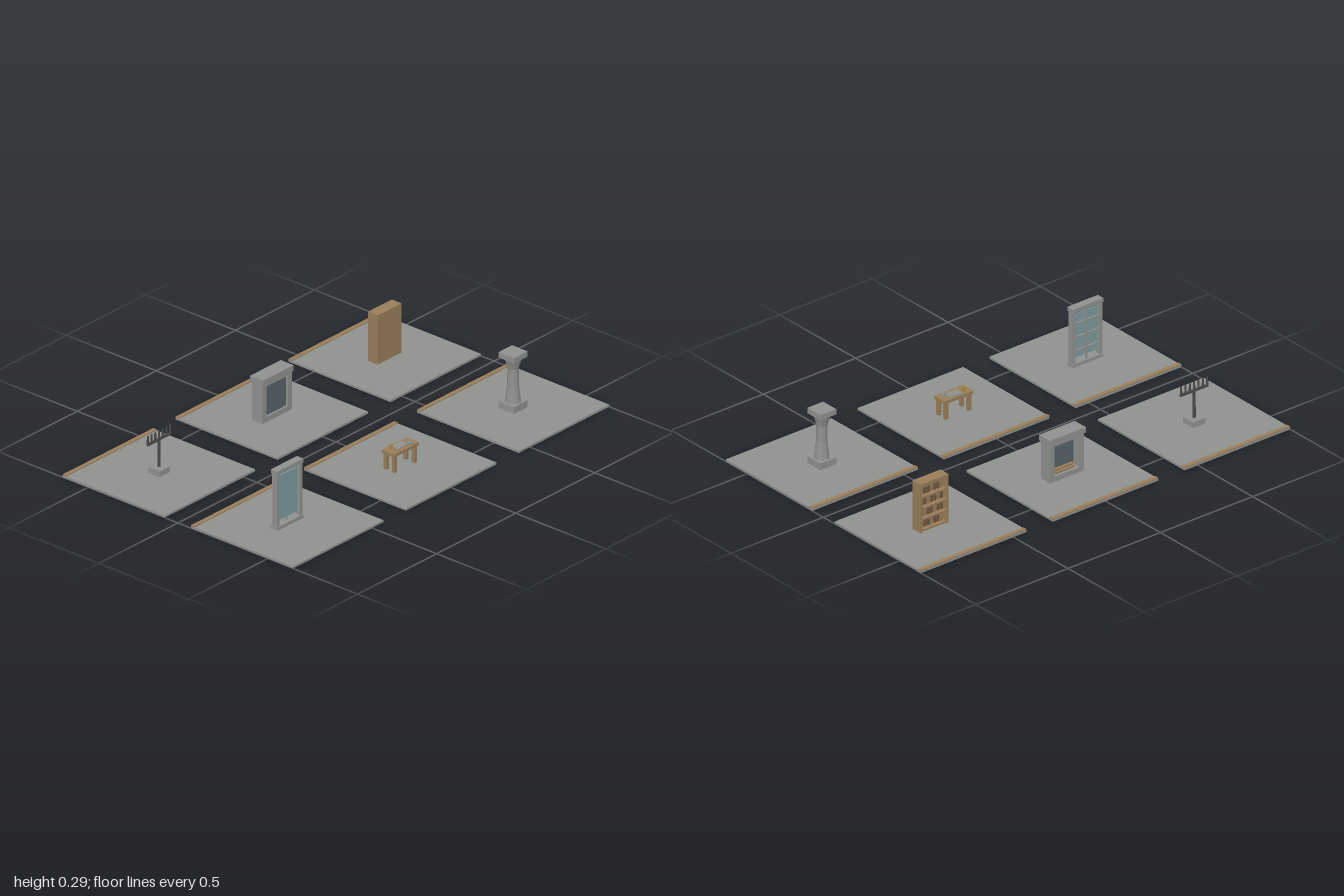
import * as THREE from 'three';

const mat = (name, color, extra = {}) => {
  const m = new THREE.MeshStandardMaterial({ color, ...extra });
  m.name = name;
  return m;
};

export function createModel() {
  const stone = mat('stone', 0x8f918f);
  const stoneFlat = stone;
  stoneFlat.flatShading = true;
  const wood = mat('wood', 0x987d5a);
  const darkWood = mat('dark wood', 0x6f5a40);
  const glass = mat('glass', 0x7f9aa0);
  const slate = mat('slate', 0x566369);
  const iron = mat('iron', 0x4a4a48);
  const brass = mat('brass', 0xa58a3c);

  const root = new THREE.Group();
  root.name = 'displaySet';
  const G = 0.01; // top of the floor slabs

  // Box given by its centre in x and z, and its lower and upper y
  const box = (parent, name, m, w, d, y0, y1, x = 0, z = 0) => {
    const b = new THREE.Mesh(new THREE.BoxGeometry(w, y1 - y0, d), m);
    b.position.set(x, (y0 + y1) / 2, z);
    b.name = name;
    parent.add(b);
    return b;
  };
  const rod = (parent, name, m, r0, r1, y0, y1, x = 0, z = 0, sides = 8) => {
    const c = new THREE.Mesh(new THREE.CylinderGeometry(r1, r0, y1 - y0, sides), m);
    c.position.set(x, (y0 + y1) / 2, z);
    c.name = name;
    parent.add(c);
    return c;
  };

  // A floor tile with a wooden strip along its back edge
  const tile = (name, x, z) => {
    const g = new THREE.Group();
    g.name = name;
    g.position.set(x, 0, z);
    box(g, 'floorSlab', stone, 0.572, 0.568, 0, G);
    box(g, 'edgeStrip', wood, 0.572, 0.02, G, 0.014, 0, -0.274);
    root.add(g);
    return g;
  };
  const X = 0.714, Z = 0.357;

  // Candle stand: plinth, post, crossbar and seven candles
  const stand = tile('candleStand', -X, -Z);
  box(stand, 'plinth', stone, 0.066, 0.066, G, 0.037);
  rod(stand, 'post', iron, 0.007, 0.006, 0.037, 0.165);
  box(stand, 'crossbar', iron, 0.15, 0.009, 0.16, 0.17);
  for (let i = -3; i <= 3; i++) rod(stand, 'candle', iron, 0.005, 0.004, 0.17, 0.205, i * 0.0235);

  // Fireplace: opens to the back, closed by a slate panel at the front
  const fire = tile('fireplace', 0, -Z);
  for (const s of [-1, 1]) box(fire, 'jamb', stone, 0.024, 0.06, G, 0.19, s * 0.08);
  box(fire, 'lintel', stone, 0.136, 0.06, 0.176, 0.19);
  box(fire, 'mantel', stone, 0.194, 0.072, 0.19, 0.216);
  box(fire, 'hearth', stone, 0.136, 0.06, G, 0.034);
  box(fire, 'backPanel', slate, 0.136, 0.012, 0.034, 0.176, 0, 0.014);
  [[0.034, -0.012], [0.034, 0.001], [0.045, -0.006]].forEach(([y, z]) =>
    rod(fire, 'log', wood, 0.007, 0.007, -0.05, 0.05, 0, z).position.set(0, y + 0.006, z));
  fire.children.filter(c => c.name === 'log').forEach(c => { c.rotation.z = Math.PI / 2; });

  // Bookcase: shelves face the back
  const shelf = tile('bookcase', X, -Z);
  box(shelf, 'backBoard', wood, 0.152, 0.008, G, 0.24, 0, 0.023);
  for (const s of [-1, 1]) box(shelf, 'sideBoard', wood, 0.01, 0.046, G, 0.24, s * 0.071, -0.004);
  box(shelf, 'topBoard', wood, 0.132, 0.046, 0.222, 0.24, 0, -0.004);
  for (let r = 0; r < 4; r++) {
    const y = 0.015 + r * 0.052;
    box(shelf, 'shelfBoard', wood, 0.132, 0.046, y, y + 0.008, 0, -0.004);
    for (let i = 0; i < 7; i++) {
      const h = 0.029 + ((i * 5 + r * 3) % 4) * 0.003;
      box(shelf, 'book', (i + r) % 3 ? darkWood : wood, 0.012, 0.026, y + 0.008, y + 0.008 + h,
        -0.054 + i * 0.018, 0.004);
    }
  }

  // Window: frame, glass pane and glazing bars on its back
  const win = tile('window', -X, Z);
  for (const s of [-1, 1]) box(win, 'jamb', stone, 0.015, 0.028, 0.026, 0.268, s * 0.073);
  box(win, 'sill', stone, 0.165, 0.036, G, 0.026);
  box(win, 'header', stone, 0.165, 0.036, 0.268, 0.287);
  box(win, 'pane', glass, 0.118, 0.006, 0.045, 0.252);
  box(win, 'verticalBar', stone, 0.008, 0.008, 0.026, 0.268, 0, -0.006);
  for (const y of [0.08, 0.143, 0.207]) box(win, 'crossBar', stone, 0.132, 0.008, y - 0.004, y + 0.004, 0, -0.006);

  // Table with a candle, a sheet and a small box
  const table = tile('table', 0, Z);
  box(table, 'tableTop', wood, 0.156, 0.07, 0.086, 0.1);
  for (const sx of [-1, 1]) {
    for (const sz of [-1, 1]) box(table, 'leg', wood, 0.016, 0.016, G, 0.086, sx * 0.062, sz * 0.023);
  }
  box(table, 'sheet', stone, 0.066, 0.038, 0.1, 0.103, 0.002, -0.004);
  rod(table, 'cup', brass, 0.008, 0.007, 0.1, 0.121, -0.043, -0.015);
  box(table, 'smallBox', glass, 0.018, 0.012, 0.1, 0.107, 0.044, 0.014);

  // Column: square base and cap, flaring faceted shaft
  const column = tile('column', X, Z);
  box(column, 'base', stone, 0.086, 0.086, G, 0.042);
  box(column, 'cap', stone, 0.086, 0.086, 0.246, 0.271);
  const profile = [[0.034, 0.042], [0.03, 0.075], [0.025, 0.12], [0.024, 0.195], [0.029, 0.215], [0.039, 0.246]];
  const shaft = new THREE.Mesh(
    new THREE.LatheGeometry(profile.map(p => new THREE.Vector2(...p)), 10), stone);
  shaft.name = 'shaft';
  column.add(shaft);

  return root;
}
